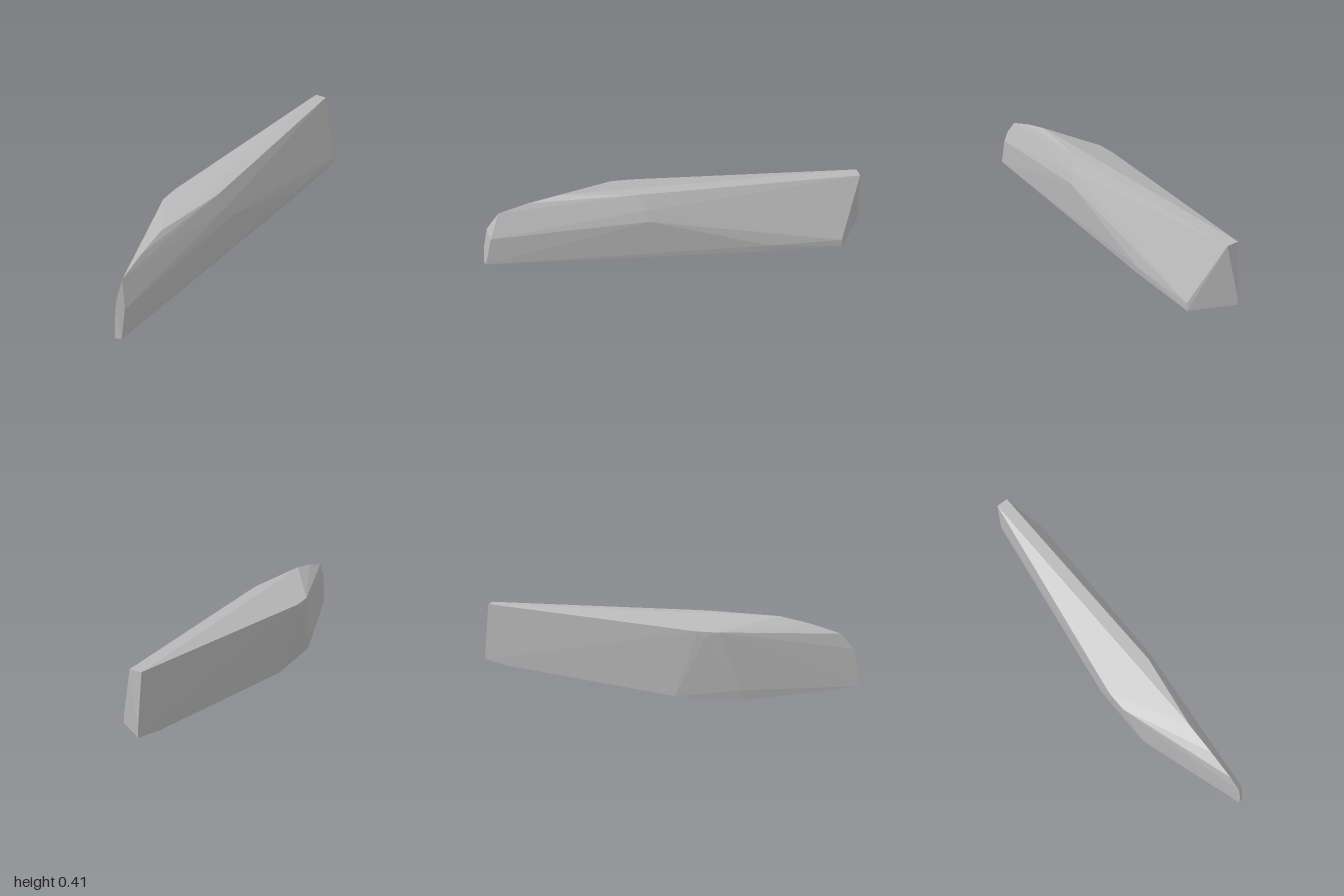
import * as THREE from 'three';
import { ConvexGeometry } from 'three/addons/geometries/ConvexGeometry.js';

// One faceted stone shard, wrapped around its corner points.
export function createModel() {
  const group = new THREE.Group();
  group.name = 'stoneShard';
  const stone = new THREE.MeshStandardMaterial({ color: 0xb8b8b8, flatShading: true });
  stone.name = 'stone grey';

  const corners = [
    // top ridge
    [0, 0.41, -0.965], [0.063, 0.41, -0.965], [0.063, 0.41, 0.2], [-0.003, 0.41, 0.59],
    // rounded nose
    [-0.003, 0.377, 0.75], [-0.003, 0.333, 0.9], [0.005, 0.255, 0.965], [0.008, 0.15, 0.99],
    [0.009, 0.06, 1], [0.04, 0.06, 0.99], [0.039, 0.21, 0.95],
    // bulge on the -x side
    [-0.19, 0.355, 0.31], [-0.19, 0.355, 0.2], [-0.19, 0.325, 0.24], [-0.16, 0.055, 0.42],
    // flank on the +x side
    [0.1, 0.335, 0.17], [0.12, 0.28, 0.15], [0.173, 0.1, -0.47], [0.168, 0.06, -0.47],
    [0.188, 0.1, -0.855], [0.187, 0.06, -0.86],
    // pointed back
    [0.01, 0.1, -1], [0.01, 0.135, -1], [-0.008, 0.075, -0.87],
    // keel
    [-0.148, 0, 0.44], [-0.06, 0, 0.43], [-0.148, 0, 0.08],
  ].map((p) => new THREE.Vector3(...p));

  const shard = new THREE.Mesh(new ConvexGeometry(corners), stone);
  shard.name = 'shard';
  group.add(shard);
  return group;
}
